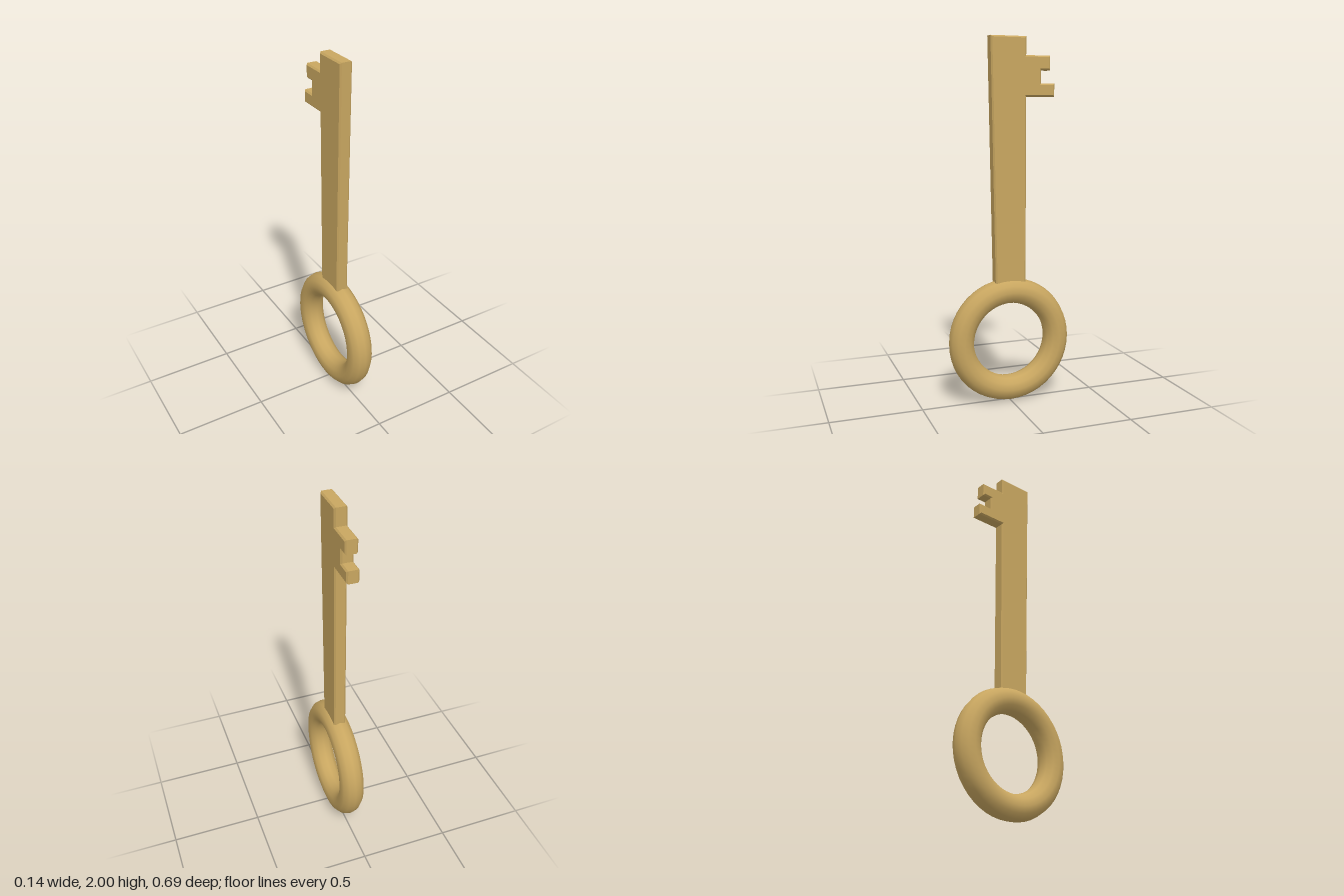
import * as THREE from 'three';

export function createModel() {
  const key = new THREE.Group();
  key.name = 'key';
  const brass = new THREE.MeshStandardMaterial({ color: 0xc8a660 });

  // Ring handle, lying in the YZ plane
  const ring = new THREE.Mesh(new THREE.TorusGeometry(0.277, 0.07, 12, 48), brass);
  ring.name = 'ringHandle';
  ring.rotation.y = Math.PI / 2;
  ring.position.y = 0.348;
  key.add(ring);

  // Tapered blade with two teeth; outline x runs towards the back (-z)
  const outline = [
    [-0.086, 0.64], [0.087, 0.64], [0.087, 1.685], [0.25, 1.685],
    [0.25, 1.755], [0.172, 1.755], [0.172, 1.825], [0.225, 1.825],
    [0.225, 1.902], [0.087, 1.902], [0.087, 2], [-0.113, 2],
  ].map(([x, y]) => new THREE.Vector2(x, y));
  const bevel = 0.008;
  const halfThickness = 0.034;
  const bladeGeometry = new THREE.ExtrudeGeometry(new THREE.Shape(outline), {
    depth: 2 * (halfThickness - bevel),
    bevelEnabled: true,
    bevelSegments: 1,
    bevelSize: bevel,
    bevelThickness: bevel,
    bevelOffset: -bevel,
  });
  bladeGeometry.translate(0, 0, bevel - halfThickness);
  bladeGeometry.rotateY(Math.PI / 2);
  const blade = new THREE.Mesh(bladeGeometry, brass);
  blade.name = 'toothedBlade';
  key.add(blade);

  return key;
}
